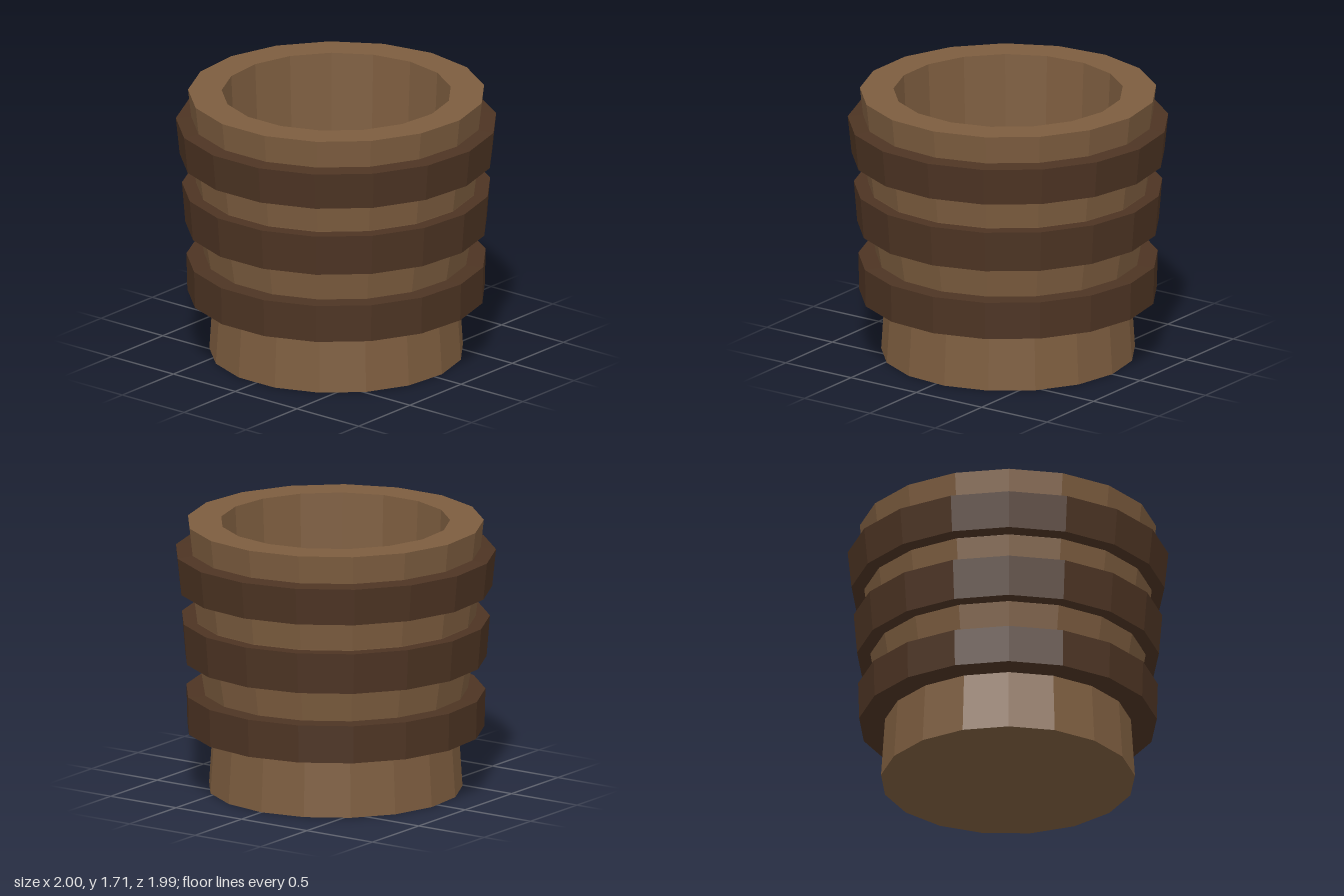
import * as THREE from 'three';

const SIDES = 17;
const wood = new THREE.MeshStandardMaterial({ color: 0x7d5d3f, flatShading: true });
const darkWood = new THREE.MeshStandardMaterial({ color: 0x4d3423, flatShading: true });

// Faceted turned part from [radius, height] pairs, with one corner at the back
function turned(name, profile, material) {
  const points = profile.map(([r, y]) => new THREE.Vector2(r, y));
  const mesh = new THREE.Mesh(new THREE.LatheGeometry(points, SIDES, Math.PI), material);
  mesh.name = name;
  mesh.position.z = 0.008;
  return mesh;
}

export function createModel() {
  const model = new THREE.Group();
  model.name = 'woodenTub';

  // Hollow body: foot, flaring wall, flat rim and tapered inside
  model.add(turned('body', [
    [0, 0], [0.795, 0], [0.77, 0.385], [0.828, 0.63], [0.862, 0.83],
    [0.878, 1.1], [0.9, 1.27], [0.908, 1.53], [0.928, 1.71],
    [0.718, 1.71], [0.66, 0.5], [0, 0.5],
  ], wood));

  // Raised bands, listed from the inner bottom edge to the inner top edge
  const bands = {
    lowerBand: [[0.75, 0.385], [0.932, 0.385], [0.938, 0.625], [0.81, 0.63]],
    middleBand: [[0.85, 0.83], [0.945, 0.835], [0.966, 1.095], [0.865, 1.095]],
    upperBand: [[0.89, 1.27], [0.98, 1.285], [1.004, 1.52], [0.89, 1.535]],
  };
  for (const [name, profile] of Object.entries(bands)) {
    model.add(turned(name, profile, darkWood));
  }
  return model;
}
